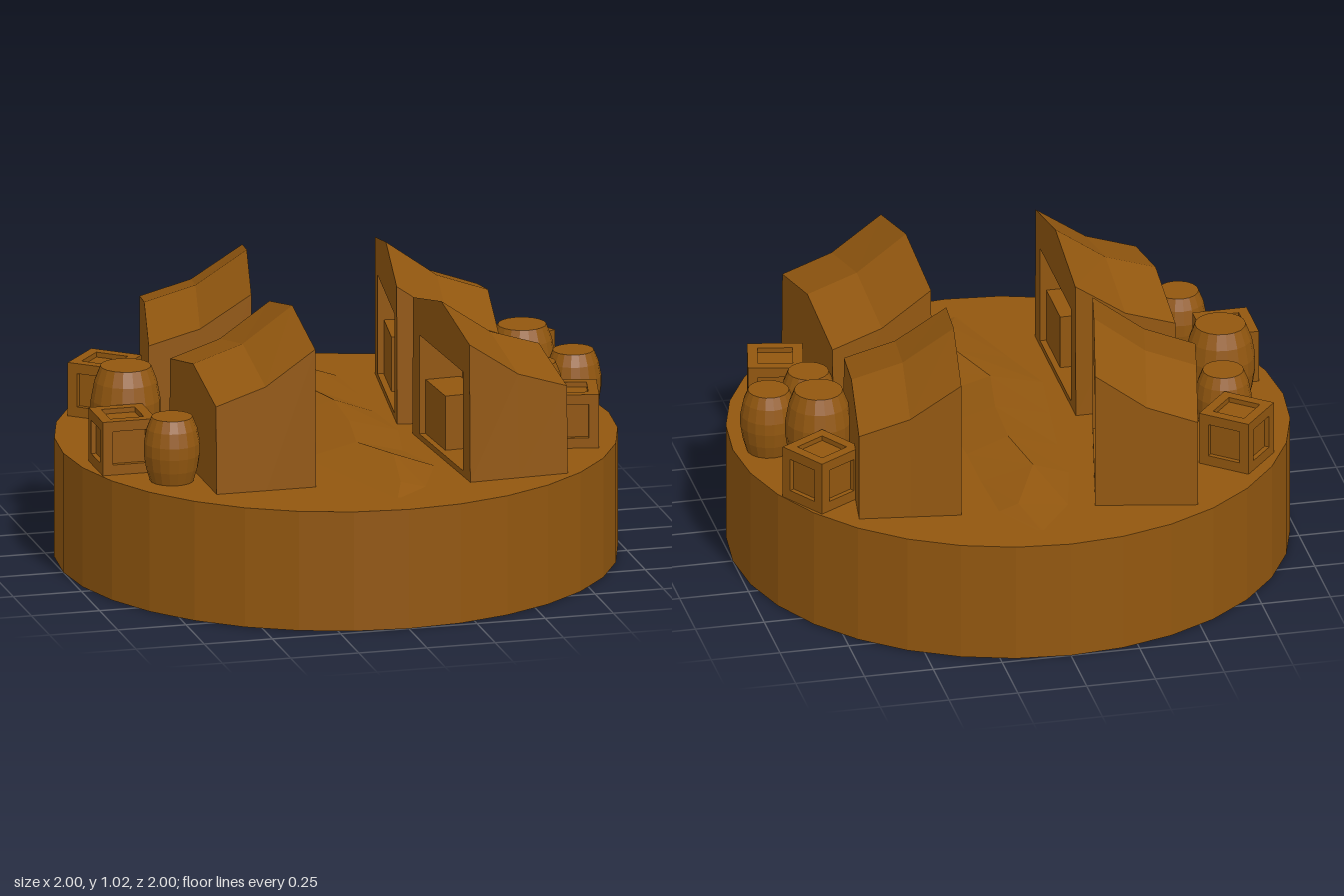
import * as THREE from 'three';

const GROUND = 0.44;
const wood = new THREE.MeshStandardMaterial({ color: 0x92570f, side: THREE.DoubleSide });
wood.name = 'brown';

// Faceted mesh: every face gets its own normal
function part(name, geometry, parent, x = 0, y = 0, z = 0) {
  const g = geometry.index ? geometry.toNonIndexed() : geometry;
  g.computeVertexNormals();
  const mesh = new THREE.Mesh(g, wood);
  mesh.name = name;
  mesh.position.set(x, y, z);
  parent.add(mesh);
  return mesh;
}

function place(name, parent, x, z, degrees = 0) {
  const group = new THREE.Group();
  group.name = name;
  group.position.set(x, GROUND, z);
  group.rotation.y = THREE.MathUtils.degToRad(degrees);
  parent.add(group);
  return group;
}

// Skin between successive open cross-sections of equal point count
function loft(sections) {
  const n = sections[0].length, index = [];
  for (let s = 0; s < sections.length - 1; s++) {
    for (let i = 0; i < n - 1; i++) {
      const a = s * n + i, b = a + n;
      index.push(a, b, b + 1, a, b + 1, a + 1);
    }
  }
  const g = new THREE.BufferGeometry();
  g.setAttribute('position', new THREE.Float32BufferAttribute(sections.flat(2), 3));
  g.setIndex(index);
  return g;
}

// Market stall, open towards its own +x
function addStall(parent, x, z, degrees) {
  const stall = place('stall', parent, x, z, degrees);
  const outline = (eave, ridge) =>
    [[0.325, 0], [0.315, eave], [0, ridge], [-0.315, eave], [-0.325, 0]];
  // x, eave height, ridge height
  const stations = [[-0.182, 0.32, 0.39], [0, 0.38, 0.45], [0.182, 0.505, 0.578]];
  part('stallWallsAndRoof', loft(stations.map(([sx, e, r]) =>
    outline(e, r).map(([pz, py]) => [sx, py, pz]))), stall);

  const gable = ([, e, r]) => new THREE.Shape(outline(e, r).map(([u, v]) => new THREE.Vector2(u, v)));
  part('stallBackWall', new THREE.ShapeGeometry(gable(stations[0])).rotateY(-Math.PI / 2), stall, -0.182);

  // Front wall with the serving opening
  const w = 0.245, low = 0.02, high = 0.385, depth = 0.16;
  const front = gable(stations[2]);
  front.holes.push(new THREE.Path([[-w, low], [-w, high], [w, high], [w, low]]
    .map(([u, v]) => new THREE.Vector2(u, v))));
  part('stallFrontWall', new THREE.ShapeGeometry(front).rotateY(Math.PI / 2), stall, 0.182);

  // Recessed room: a box without its +x side, turned inside out
  const room = new THREE.BoxGeometry(depth, high - low, 2 * w);
  room.setIndex(Array.from(room.index.array).slice(6).reverse());
  part('stallRoom', room, stall, 0.182 - depth / 2, (low + high) / 2, 0);
  part('counter', new THREE.BoxGeometry(0.13, 0.2, 0.22), stall, 0.095, 0.12, 0.13);
}

function addBarrel(parent, x, z, radius, height) {
  const profile = [[0, 0], [0.78, 0], [0.92, 0.2], [1, 0.42], [1, 0.6], [0.9, 0.82], [0.73, 1], [0, 1]];
  const barrel = place('barrel', parent, x, z);
  part('barrelBody', new THREE.LatheGeometry(
    profile.map(([r, h]) => new THREE.Vector2(r * radius, h * height)), 18), barrel);
}

// Crate: inner box with a beam along each of its twelve edges
function addCrate(parent, x, z, degrees) {
  const crate = place('crate', parent, x, z, degrees);
  const size = 0.197, beam = 0.037, off = (size - beam) / 2, mid = size / 2;
  const core = size - 0.036;
  part('crateCore', new THREE.BoxGeometry(core, core, core), crate, 0, mid, 0);
  for (const a of [-off, off]) {
    for (const b of [-off, off]) {
      const inner = size - 2 * beam;
      part('crateBeam', new THREE.BoxGeometry(inner, beam, beam), crate, 0, mid + a, b);
      part('cratePost', new THREE.BoxGeometry(beam, size, beam), crate, a, mid, b);
      part('crateBeam', new THREE.BoxGeometry(beam, beam, inner), crate, a, mid + b, 0);
    }
  }
}

export function createModel() {
  const model = new THREE.Group();
  model.name = 'marketPlace';
  part('base', new THREE.CylinderGeometry(1, 1, GROUND, 32), model, 0, GROUND / 2, 0);

  // Low ridge of trodden earth: z, left edge, crest x, crest height, right edge
  const mound = [
    [-0.87, 0.07, 0.08, 0.002, 0.09],
    [-0.69, -0.06, 0.12, 0.024, 0.19],
    [-0.44, -0.12, 0.01, 0.045, 0.2],
    [-0.22, -0.13, 0.05, 0.055, 0.2],
    [0.03, -0.16, 0.04, 0.05, 0.22],
    [0.28, -0.19, 0, 0.045, 0.17],
    [0.49, -0.12, 0.08, 0.055, 0.23],
    [0.74, -0.04, 0.04, 0.025, 0.13],
    [0.85, -0.01, 0, 0.002, 0.01],
  ];
  part('pathMound', loft(mound.map(([z, left, cx, h, right]) =>
    [[left, 0, z], [cx, h, z], [right, 0, z]])), model, 0, GROUND, 0);

  [[-0.427, 0.318, 0], [-0.398, -0.439, -12], [0.461, -0.341, 172], [0.46, 0.392, 183.5]]
    .forEach((s) => addStall(model, ...s));

  [[-0.73, -0.225, 0.1, 0.235], [-0.77, -0.005, 0.124, 0.305], [-0.715, 0.425, 0.1, 0.235],
    [0.73, -0.18, 0.118, 0.295], [0.875, -0.02, 0.1, 0.235], [0.705, 0.09, 0.1, 0.235]]
    .forEach((b) => addBarrel(model, ...b));

  [[-0.84, 0.215, 0], [-0.725, -0.46, -40], [0.775, 0.31, -12], [0.775, -0.435, 32]]
    .forEach((c) => addCrate(model, ...c));

  return model;
}
